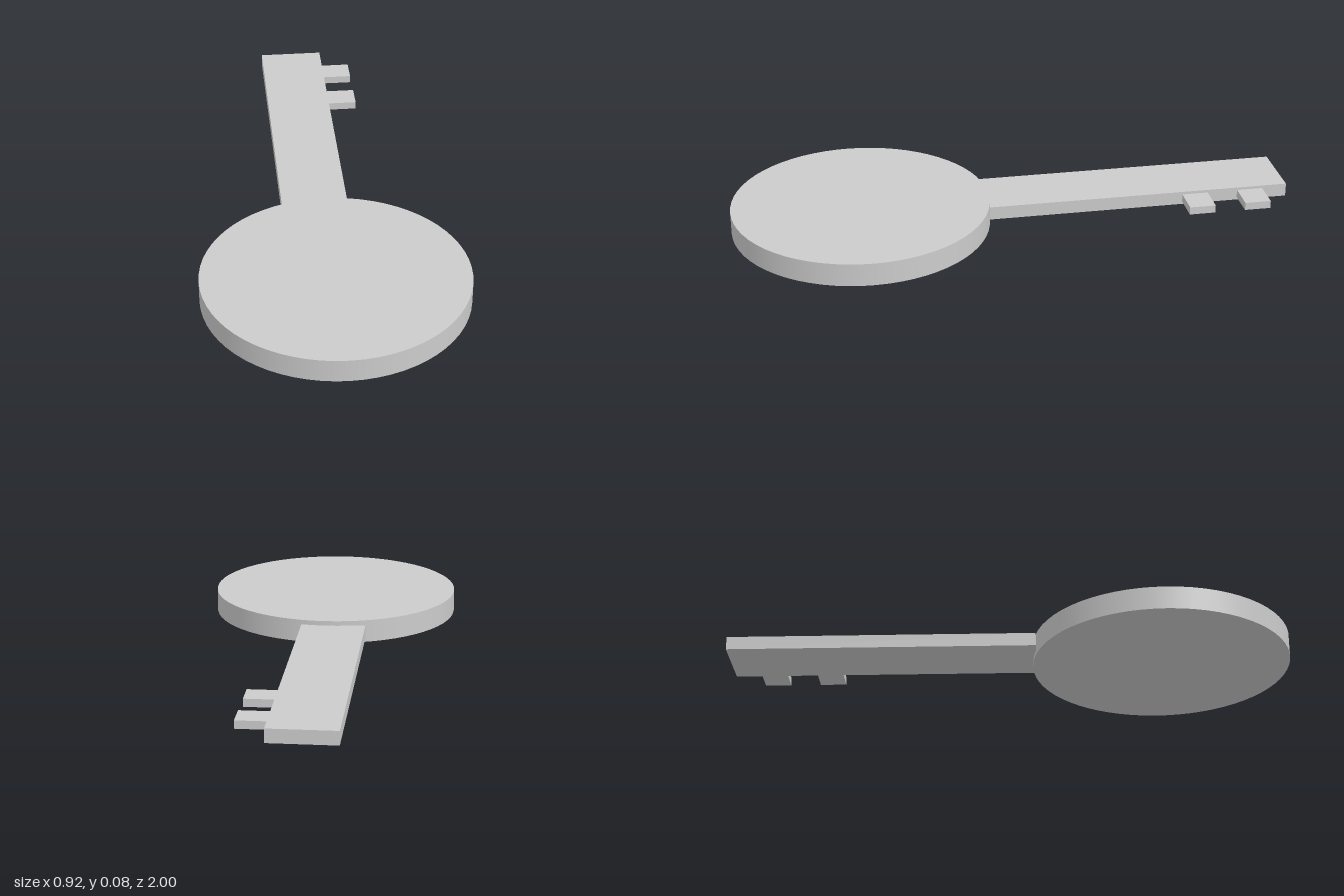
import * as THREE from 'three';

const material = new THREE.MeshStandardMaterial({ color: 0xcccccc });
const MID_Y = 0.041; // every part is centred on the same height

function add(group, name, geometry, x, z) {
  const mesh = new THREE.Mesh(geometry, material);
  mesh.name = name;
  mesh.position.set(x, MID_Y, z);
  group.add(mesh);
}

// Box spanning the given x and z ranges
function addBar(group, name, [x0, x1], [z0, z1], height) {
  add(group, name, new THREE.BoxGeometry(x1 - x0, height, z1 - z0), (x0 + x1) / 2, (z0 + z1) / 2);
}

export function createModel() {
  const key = new THREE.Group();
  key.name = 'key';

  // Round solid handle
  add(key, 'bow', new THREE.CylinderGeometry(0.458, 0.458, 0.082, 64), 0, 0.542);

  // Flat shaft, slightly off centre, butting against the handle
  addBar(key, 'shaft', [-0.147, 0.087], [-1, 0.096], 0.048);

  // Two thin teeth on the left edge
  [-0.863, -0.659].forEach((z, i) =>
    addBar(key, `tooth${i + 1}`, [0.08, 0.193], [z - 0.047, z + 0.047], 0.028));

  return key;
}
